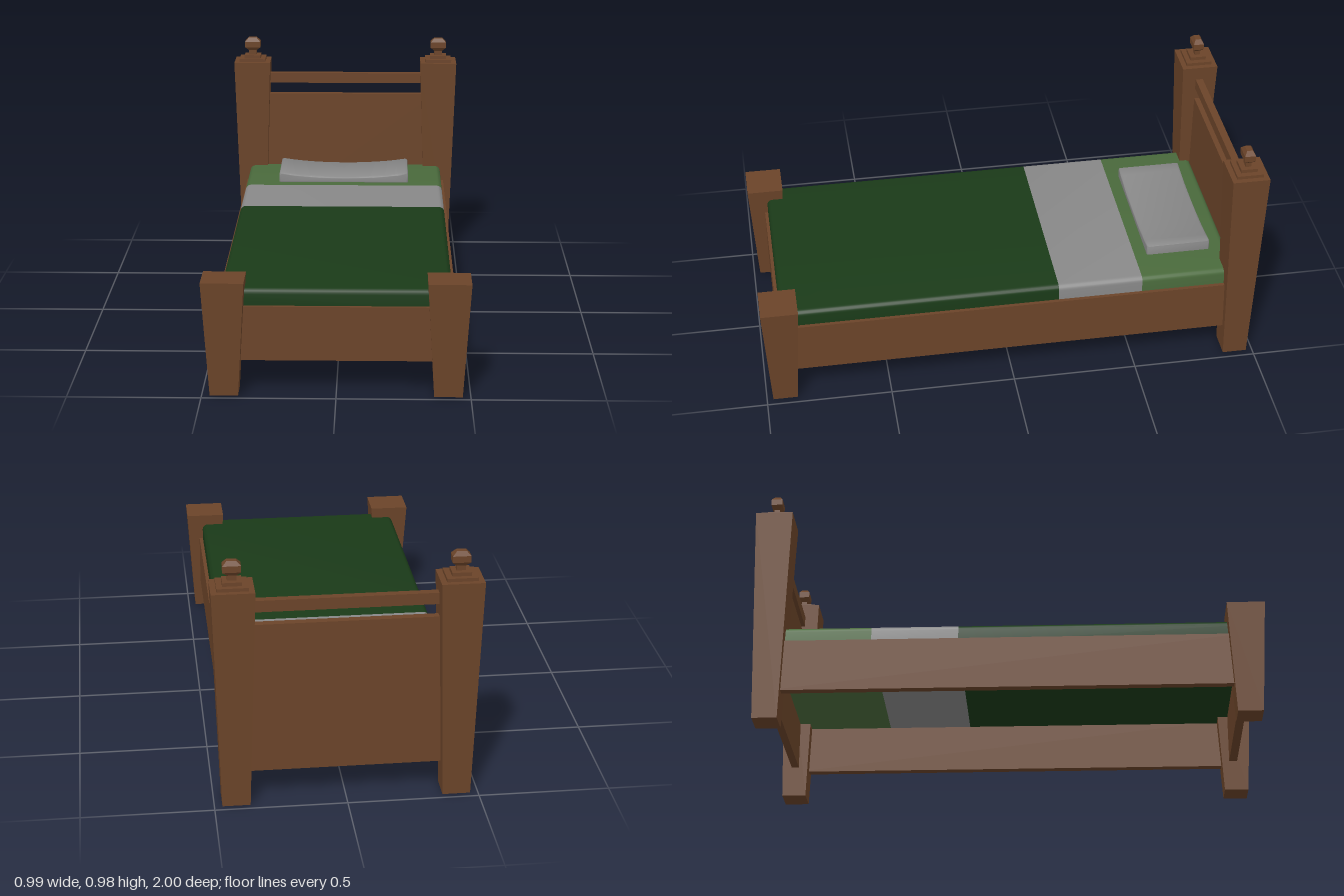
import * as THREE from 'three';
import { toCreasedNormals } from 'three/addons/utils/BufferGeometryUtils.js';

const wood = new THREE.MeshStandardMaterial({ color: 0x6b4429, flatShading: true });
const cloth = (color) => new THREE.MeshStandardMaterial({ color });
const grey = cloth(0x888888);

function add(parent, name, geometry, material) {
  const mesh = new THREE.Mesh(geometry, material);
  mesh.name = name;
  parent.add(mesh);
  return mesh;
}

// Box given by its min and max corners
function board(parent, name, x0, x1, y0, y1, z0, z1) {
  add(parent, name, new THREE.BoxGeometry(x1 - x0, y1 - y0, z1 - z0), wood)
    .position.set((x0 + x1) / 2, (y0 + y1) / 2, (z0 + z1) / 2);
}

// Four-sided turned shape; profile of [half width in x, y], closed at both ends
function squareTurned(profile, depthRatio) {
  const pts = profile.map(([r, y]) => new THREE.Vector2(r * Math.SQRT2, y));
  pts.unshift(new THREE.Vector2(0, pts[0].y));
  pts.push(new THREE.Vector2(0, pts[pts.length - 1].y));
  return new THREE.LatheGeometry(pts, 4).rotateY(Math.PI / 4).scale(1, 1, depthRatio);
}

// Length of bedding through stations [z, inset], with a rounded top edge
function bedding(stations) {
  const W = 0.43, H = 0.4, bottom = 0.32, R = 0.022, N = 5;
  const pos = [], index = [];
  const count = 2 * (N + 1) + 2;
  for (const [z, inset] of stations) {
    const w = W - inset, h = H - inset;
    pos.push(w, bottom, z);
    for (let k = 0; k <= 2 * N + 1; k++) {
      const right = k <= N;
      const a = (right ? k : k - 1) * Math.PI / (2 * N);
      pos.push((right ? 1 : -1) * (w - R) + R * Math.cos(a), h - R + R * Math.sin(a), z);
    }
    pos.push(-w, bottom, z);
  }
  for (let s = 0; s < stations.length - 1; s++) {
    for (let i = 0; i < count; i++) {
      const a = s * count + i, b = s * count + (i + 1) % count;
      index.push(a, b, a + count, b, b + count, a + count);
    }
  }
  // End caps
  const last = (stations.length - 1) * count;
  for (let i = 1; i < count - 1; i++) {
    index.push(0, i + 1, i, last, last + i, last + i + 1);
  }
  const g = new THREE.BufferGeometry();
  g.setAttribute('position', new THREE.Float32BufferAttribute(pos, 3));
  g.setIndex(index);
  // Stations run towards +z
  return toCreasedNormals(g, 0.7);
}

// Rounded end: quarter circle of insets, dir is +1 for foot and -1 for head
function roundedEnd(z, dir) {
  const R = 0.022, list = [];
  for (let k = 0; k <= 5; k++) {
    const a = k * Math.PI / 10;
    list.push([z - dir * R * (1 - Math.sin(a)), R * (1 - Math.cos(a))]);
  }
  return dir > 0 ? list : list.reverse();
}

export function createModel() {
  const bed = new THREE.Group();
  bed.name = 'bed';

  // Tapered corner posts, the head ones with stepped caps and finials
  for (const side of [1, -1]) {
    const label = side > 0 ? 'left' : 'right';
    const foot = new THREE.Group();
    foot.name = label + 'FootPost';
    foot.position.set(side * 0.417, 0, 0.926);
    add(foot, 'post', squareTurned([[0.053, 0], [0.08, 0.445]], 0.92), wood);

    const head = new THREE.Group();
    head.name = label + 'HeadPost';
    head.position.set(side * 0.417, 0, -0.926);
    add(head, 'post', squareTurned([[0.053, 0], [0.08, 0.877]], 0.92), wood);
    add(head, 'steppedCap', squareTurned(
      [[0.058, 0.875], [0.058, 0.89], [0.036, 0.89], [0.036, 0.904]], 0.91), wood);
    add(head, 'finial', squareTurned(
      [[0.017, 0.9], [0.017, 0.923], [0.034, 0.938], [0.034, 0.963], [0.018, 0.98]], 0.64), wood);

    bed.add(foot, head);

    // Long side rails
    const inner = side * 0.412, outer = side * 0.445;
    board(bed, label + 'SideRail', Math.min(inner, outer), Math.max(inner, outer),
      0.125, 0.335, -0.925, 0.925);
  }

  // Boards and top rail between the posts
  board(bed, 'footboard', -0.4, 0.4, 0.125, 0.335, 0.9, 0.933);
  board(bed, 'headboard', -0.4, 0.4, 0.125, 0.725, -0.94, -0.91);
  board(bed, 'headRail', -0.4, 0.4, 0.775, 0.82, -0.94, -0.91);

  // Mattress in three coloured lengths
  add(bed, 'sheet', bedding([...roundedEnd(-0.912, -1), [-0.53, 0]]), cloth(0x4a6a3c));
  add(bed, 'blanketFold', bedding([[-0.53, 0], [-0.19, 0]]), grey);
  add(bed, 'blanket', bedding([[-0.19, 0], ...roundedEnd(0.92, 1)]), cloth(0x1a3a18));

  // Pillow with a sagging top
  const s = new THREE.Shape();
  s.moveTo(-0.285, 0.395);
  s.lineTo(0.282, 0.395);
  s.lineTo(0.282, 0.432);
  s.quadraticCurveTo(0.282, 0.443, 0.27, 0.443);
  s.bezierCurveTo(0.12, 0.418, -0.12, 0.418, -0.273, 0.443);
  s.quadraticCurveTo(-0.285, 0.443, -0.285, 0.432);
  const bevel = 0.008;
  const pillow = new THREE.ExtrudeGeometry(s, {
    depth: 0.26 - 2 * bevel, curveSegments: 12,
    bevelEnabled: true, bevelSize: bevel, bevelThickness: bevel, bevelOffset: -bevel, bevelSegments: 4,
  });
  pillow.translate(0, 0, -0.84 + bevel);
  add(bed, 'pillow', toCreasedNormals(pillow, 0.8), grey);

  return bed;
}
